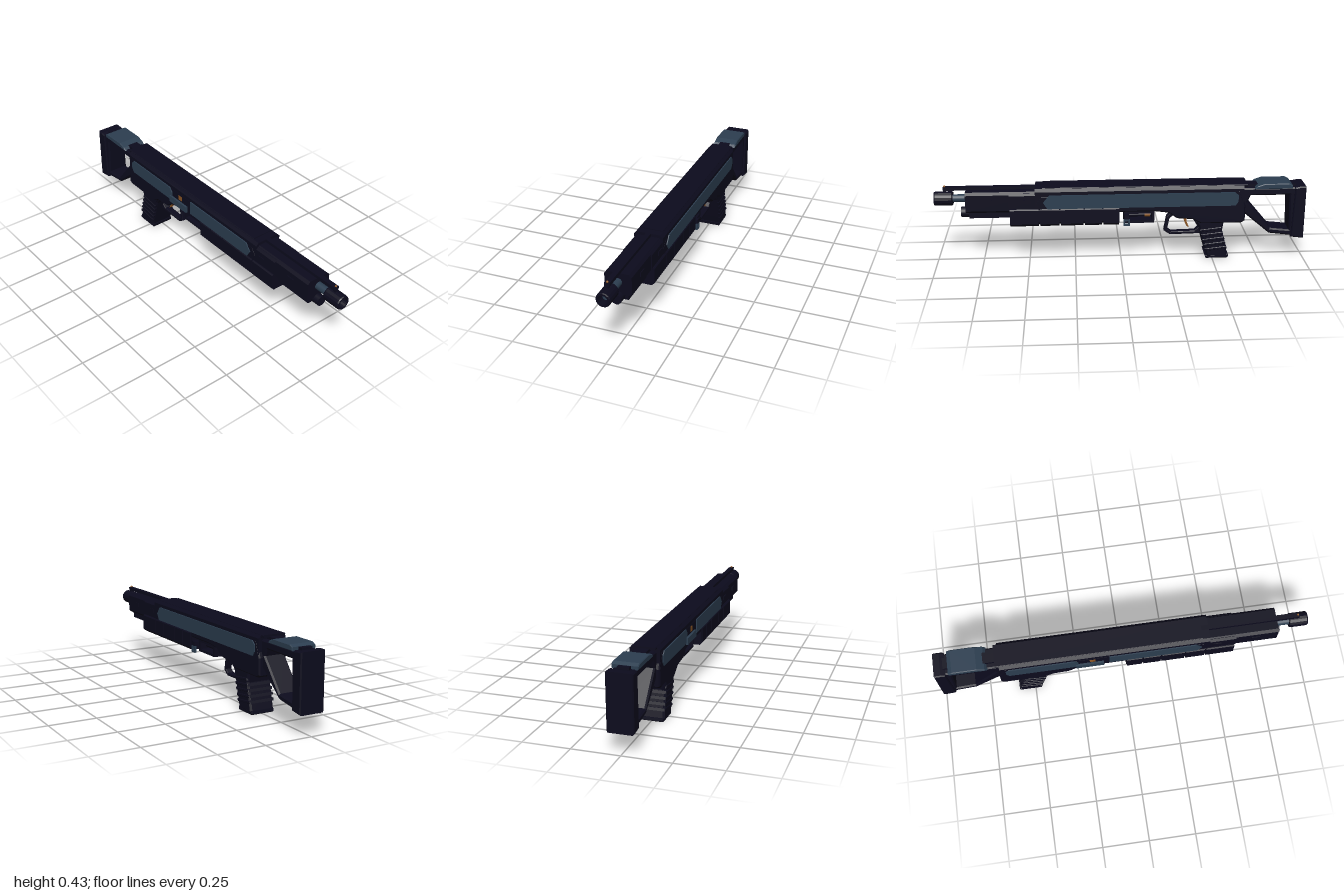
import * as THREE from 'three';

const navy = new THREE.MeshStandardMaterial({ color: 0x0c0b1d });
navy.name = 'dark navy';
const slate = new THREE.MeshStandardMaterial({ color: 0x2c3e50 });
slate.name = 'slate blue';
const bronze = new THREE.MeshStandardMaterial({ color: 0x8b5523 });
bronze.name = 'bronze';

export function createModel() {
  const model = new THREE.Group();
  model.name = 'longGun';

  function add(name, geometry, material, x = 0, y = 0, z = 0) {
    const mesh = new THREE.Mesh(geometry, material);
    mesh.name = name;
    mesh.position.set(x, y, z);
    model.add(mesh);
    return mesh;
  }
  const toVectors = (pts) => pts.map(([x, y]) => new THREE.Vector2(x, y));

  // Side profile extruded across z, with chamfered edges and an optional hole
  function profile(name, pts, half, material, bevel = 0, hole = null, z = 0) {
    const shape = new THREE.Shape(toVectors(pts));
    if (hole) shape.holes.push(new THREE.Path(toVectors(hole)));
    const geometry = new THREE.ExtrudeGeometry(shape, {
      depth: 2 * (half - bevel), bevelEnabled: bevel > 0, bevelSegments: 1,
      bevelThickness: bevel, bevelSize: bevel, bevelOffset: -bevel,
    });
    geometry.translate(0, 0, -(half - bevel));
    return add(name, geometry, material, 0, 0, z);
  }
  const rect = (x0, x1, y0, y1) => [[x0, y0], [x1, y0], [x1, y1], [x0, y1]];
  function box(name, x0, x1, y0, y1, z0, z1, material) {
    return add(name, new THREE.BoxGeometry(x1 - x0, y1 - y0, z1 - z0), material,
      (x0 + x1) / 2, (y0 + y1) / 2, (z0 + z1) / 2);
  }
  // Cross-section in (z, y) extruded along x
  function beam(name, section, x0, x1, material) {
    const geometry = new THREE.ExtrudeGeometry(new THREE.Shape(toVectors(section)),
      { depth: x1 - x0, bevelEnabled: false });
    geometry.rotateY(Math.PI / 2);
    return add(name, geometry, material, x0);
  }
  const chamfered = (w, y0, y1, low, high) => [
    [-w + low, y0], [w - low, y0], [w, y0 + low], [w, y1 - high],
    [w - high, y1], [-w + high, y1], [-w, y1 - high], [-w, y0 + low]];
  function rod(name, radius, x0, x1, y, material, sides = 24, z = 0) {
    const geometry = new THREE.CylinderGeometry(radius, radius, x1 - x0, sides);
    geometry.rotateZ(-Math.PI / 2);
    return add(name, geometry, material, (x0 + x1) / 2, y, z);
  }

  // Skeleton stock with butt pad and cheek rest
  profile('stock',
    [[-0.985, 0.115], [-0.81, 0.138], [-0.63, 0.29], [-0.63, 0.4], [-0.985, 0.4]],
    0.058, navy, 0.008,
    [[-0.92, 0.155], [-0.912, 0.358], [-0.70, 0.358], [-0.685, 0.322], [-0.815, 0.167]]);
  profile('buttPad', [[-1, 0.108], [-0.93, 0.117], [-0.94, 0.4], [-0.965, 0.406], [-1, 0.406]],
    0.068, navy, 0.006);
  profile('cheekRest',
    [[-0.925, 0.396], [-0.72, 0.396], [-0.735, 0.412], [-0.775, 0.425], [-0.905, 0.425], [-0.925, 0.415]],
    0.066, slate, 0.004);
  box('stockRib', -0.95, -0.65, 0.395, 0.414, -0.03, 0.03, navy);

  // Receiver: lower body, then the chamfered upper housing
  profile('receiver',
    [[-0.67, 0.222], [-0.65, 0.21], [-0.43, 0.21], [-0.385, 0.235], [-0.30, 0.242],
      [-0.255, 0.275], [-0.18, 0.285], [0.02, 0.285], [0.44, 0.3], [0.46, 0.345],
      [0.43, 0.385], [-0.64, 0.395], [-0.67, 0.31]],
    0.078, navy, 0.007);
  beam('upperHousing', chamfered(0.077, 0.29, 0.42, 0.008, 0.015), -0.66, 0.46, navy);
  beam('topPlate', chamfered(0.062, 0.41, 0.424, 0.002, 0.003), -0.68, 0.42, navy);

  // Barrel shroud, rib and front sight
  beam('shroud', chamfered(0.07, 0.29, 0.404, 0.012, 0.014), 0.44, 0.83, navy);
  beam('shroudSleeve', chamfered(0.076, 0.295, 0.398, 0.012, 0.012), 0.44, 0.6, navy);
  box('topRib', 0.4, 0.95, 0.402, 0.42, -0.013, 0.013, navy);
  box('sightPost', 0.935, 0.95, 0.385, 0.42, -0.008, 0.008, navy);
  add('sightBead', new THREE.SphereGeometry(0.006, 10, 8), bronze, 0.943, 0.422, 0);
  for (const s of [1, -1]) {
    for (const x of [0.5, 0.71]) {
      const zMid = s * (x < 0.6 ? 0.077 : 0.071);
      box('shroudSlot', x - 0.022, x + 0.022, 0.34, 0.362, zMid - 0.003, zMid + 0.003, navy);
    }
  }

  // Barrel, hollow muzzle and magazine tube
  rod('barrel', 0.021, 0.8, 0.96, 0.355, slate);
  const muzzlePts = [[0.014, 0.9], [0.035, 0.9], [0.038, 0.906], [0.038, 0.994],
    [0.035, 1], [0.026, 1], [0.022, 0.95], [0, 0.95]];
  const muzzle = new THREE.LatheGeometry(toVectors(muzzlePts), 16).toNonIndexed();
  muzzle.computeVertexNormals();
  muzzle.rotateZ(-Math.PI / 2);
  add('muzzle', muzzle, navy, 0, 0.355, 0);
  rod('bore', 0.014, 0.945, 0.97, 0.355, slate, 16);
  rod('magazineTube', 0.026, 0.55, 0.84, 0.276, navy);
  rod('magazineCap', 0.028, 0.81, 0.86, 0.276, navy, 12);
  box('tubeBridge', 0.58, 0.815, 0.255, 0.31, -0.045, 0.045, navy);

  // Sliding fore-end made of segments with narrow grooves
  const cuts = [0.01, 0.1, 0.2, 0.33, 0.44, 0.6];
  beam('foreEndCore', chamfered(0.08, 0.222, 0.31, 0.015, 0.006), 0.01, 0.59, navy);
  for (let i = 0; i < cuts.length - 1; i++) {
    beam('foreEndSegment', chamfered(0.086, 0.213, 0.312, 0.015, 0.006),
      cuts[i] + 0.004, cuts[i + 1] - 0.004, navy);
  }

  // Side panels: split around the port on one side, unbroken on the other
  profile('rearSidePanel',
    [[-0.63, 0.335], [-0.615, 0.312], [-0.26, 0.312], [-0.26, 0.342], [-0.245, 0.342],
      [-0.245, 0.365], [-0.265, 0.388], [-0.61, 0.388], [-0.63, 0.37]],
    0.004, slate, 0, null, 0.079);
  profile('frontSidePanel',
    [[-0.08, 0.312], [0.395, 0.312], [0.418, 0.348], [0.385, 0.388], [-0.08, 0.388]],
    0.004, slate, 0, null, 0.079);
  profile('fullSidePanel',
    [[-0.63, 0.335], [-0.615, 0.312], [0.395, 0.312], [0.418, 0.348], [0.385, 0.388],
      [-0.61, 0.388], [-0.63, 0.37]],
    0.004, slate, 0, null, -0.079);

  // Ejection port with chambered shell and bolt plate
  box('ejectionPort', -0.24, -0.085, 0.342, 0.386, 0.074, 0.079, navy);
  box('chamberedShell', -0.185, -0.155, 0.35, 0.376, 0.074, 0.081, bronze);
  box('boltPlate', -0.26, -0.11, 0.302, 0.34, 0.07, 0.089, slate);

  // Open shell carrier under the receiver
  profile('carrierFrame', rect(-0.18, -0.015, 0.209, 0.29), 0.045, navy, 0,
    rect(-0.168, -0.027, 0.222, 0.262));
  rod('carrierShell', 0.013, -0.16, -0.13, 0.242, bronze, 16);
  rod('carrierShellBody', 0.011, -0.13, -0.025, 0.242, navy, 16);
  profile('slingLoop', rect(-0.045, -0.01, 0.21, 0.246), 0.005, slate, 0,
    rect(-0.036, -0.019, 0.219, 0.237), -0.084);
  box('slingMount', -0.04, -0.015, 0.243, 0.27, -0.088, -0.06, navy);

  // Trigger and guard
  profile('triggerGuard',
    [[-0.44, 0.13], [-0.27, 0.126], [-0.236, 0.15], [-0.25, 0.23], [-0.27, 0.25], [-0.43, 0.25]],
    0.018, navy, 0.003,
    [[-0.425, 0.165], [-0.405, 0.145], [-0.275, 0.142], [-0.254, 0.158], [-0.266, 0.222],
      [-0.285, 0.236], [-0.385, 0.233]]);
  profile('trigger',
    [[-0.375, 0.162], [-0.362, 0.17], [-0.352, 0.19], [-0.335, 0.24], [-0.36, 0.24], [-0.362, 0.195]],
    0.009, bronze, 0.002);

  // Pistol grip with wrapped ridges and a flared base
  profile('grip',
    [[-0.585, 0.01], [-0.47, 0.01], [-0.455, 0.06], [-0.42, 0.19], [-0.4, 0.225],
      [-0.56, 0.225], [-0.55, 0.16]],
    0.068, navy, 0.01);
  for (let i = 0; i < 5; i++) {
    const y = 0.05 + i * 0.028;
    const x = -0.575 + (y - 0.05) * 0.27;
    profile('gripRidge', [[x - 0.005, y + 0.008], [x + 0.113, y - 0.006],
      [x + 0.118, y + 0.008], [x, y + 0.022]], 0.071, navy, 0.003);
  }
  profile('gripBase', [[-0.59, 0.006], [-0.58, 0], [-0.465, 0], [-0.46, 0.018], [-0.588, 0.022]],
    0.065, navy, 0.004);

  return model;
}
